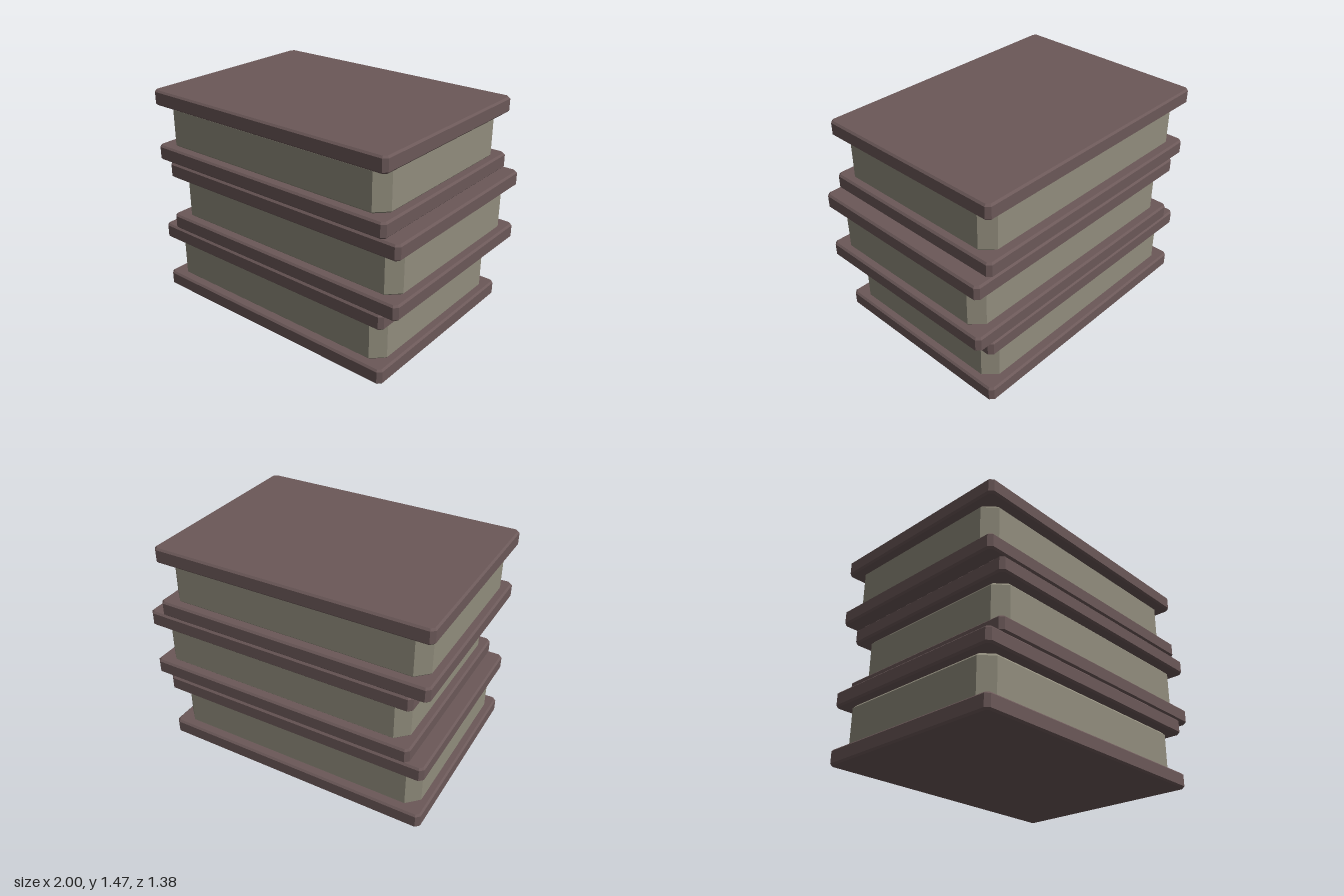
import * as THREE from 'three';

const coverMat = new THREE.MeshStandardMaterial({ color: 0x6b5858, flatShading: true });
const pageMat = new THREE.MeshStandardMaterial({ color: 0x908c7c, flatShading: true });

// Block standing on y = 0 with cut corners and chamfered top and bottom edges
function chamferedBlock(hx, hz, height, corner, bevel) {
  const a = hx - corner, b = hz - corner;
  const outline = [[hx, -b], [hx, b], [a, hz], [-a, hz], [-hx, b], [-hx, -b], [-a, -hz], [a, -hz]];
  const shape = new THREE.Shape(outline.map(([x, y]) => new THREE.Vector2(x, y)));
  const geo = new THREE.ExtrudeGeometry(shape, {
    depth: height - 2 * bevel, bevelEnabled: true, bevelSegments: 1,
    bevelThickness: bevel, bevelSize: bevel, bevelOffset: -bevel,
  });
  return geo.translate(0, 0, bevel).rotateX(-Math.PI / 2);
}

function addPart(group, name, geo, mat, y) {
  const mesh = new THREE.Mesh(geo, mat);
  mesh.name = name;
  mesh.position.y = y;
  group.add(mesh);
}

export function createModel() {
  const model = new THREE.Group();
  model.name = 'bookStack';
  const pitch = 0.491, thickness = 0.104;
  const coverGeo = chamferedBlock(0.95, 0.688, thickness, 0.026, 0.012);
  const pageGeo = chamferedBlock(0.902, 0.632, 0.407, 0.08, 0.08);

  // Three books, the middle one shifted sideways
  [-0.05, 0.05, -0.05].forEach((x, i) => {
    const book = new THREE.Group();
    book.name = `book${i + 1}`;
    book.position.set(x, i * pitch, 0);
    addPart(book, 'bottomCover', coverGeo, coverMat, 0);
    addPart(book, 'pages', pageGeo, pageMat, 0.036); // ends sink into the covers
    addPart(book, 'topCover', coverGeo, coverMat, pitch - thickness);
    model.add(book);
  });
  return model;
}
